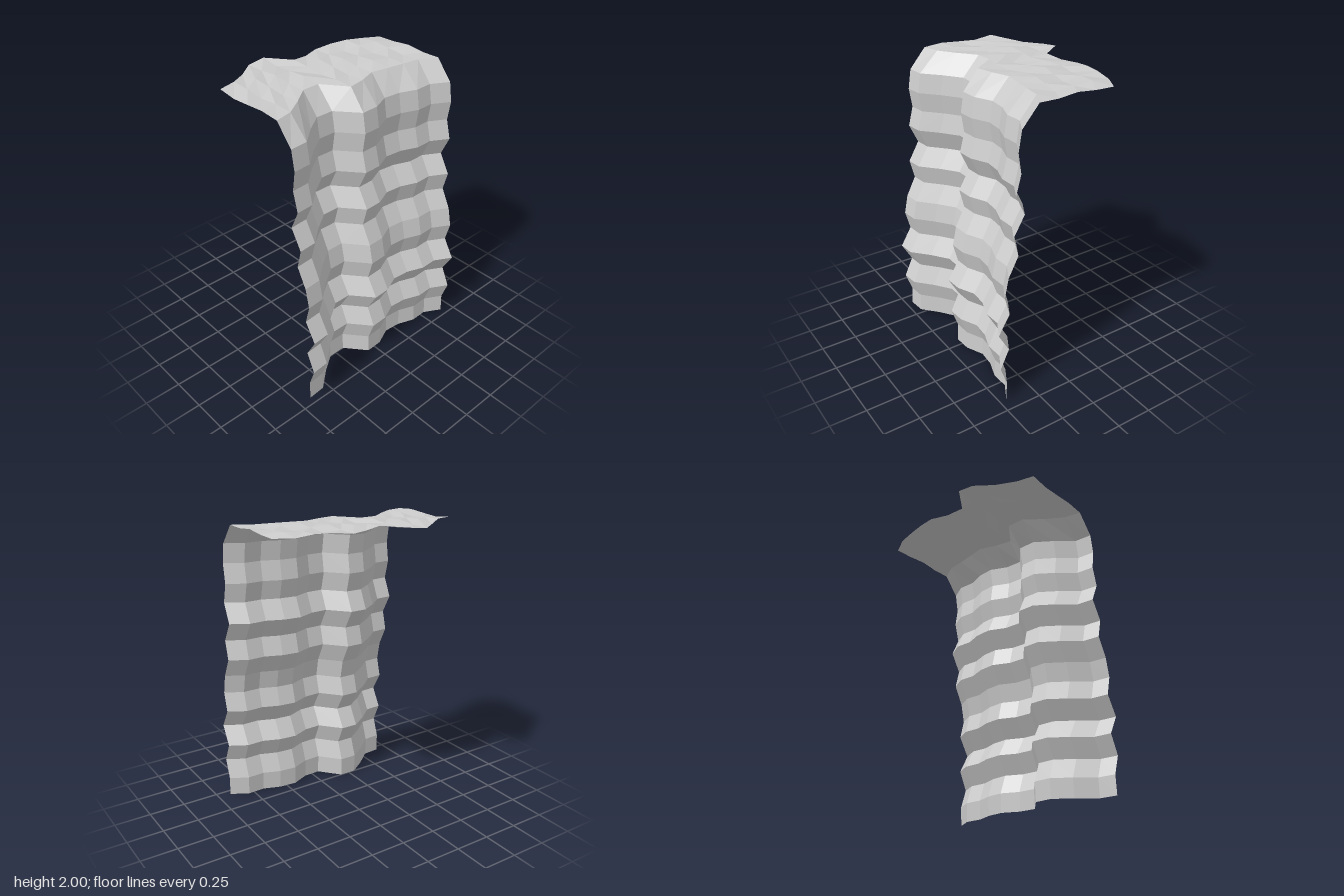
import * as THREE from 'three';

// z of the brow (top front edge) for each column, left to right
const brow = [0.23, 0.2, 0.12, 0.025, 0.02, 0.18, 0.155, 0.11, 0.13, 0.15, 0.165, 0.23];
// slight extra bulge of each column below the brow
const bulge = [-0.005, 0.015, -0.01, 0, 0.005, -0.012, 0.007, -0.002, -0.012, 0.012, -0.007, -0.005];
// how far each rock layer stands out from the brow, bottom to top
const layers = [0.225, 0.22, 0.267, 0.205, 0.28, 0.2, 0.235, 0.207,
  0.138, 0.172, 0.095, 0.157, 0.122, 0.142, 0.12, 0];

const HEIGHT = 1.99, HALF_WIDTH = 0.66, DEPTH = 0.53, TOP_ROWS = 4;
const COLS = brow.length - 1;

// Faceted sheet through a grid of points; point(i, j) gives [x, y, z]
function sheet(name, rows, point, material) {
  const positions = [], index = [];
  for (let j = 0; j <= rows; j++) {
    for (let i = 0; i <= COLS; i++) positions.push(...point(i, j));
  }
  for (let j = 0; j < rows; j++) {
    for (let i = 0; i < COLS; i++) {
      const a = j * (COLS + 1) + i, b = a + 1, d = a + COLS + 1, c = d + 1;
      index.push(a, b, c, a, c, d);
    }
  }
  const geometry = new THREE.BufferGeometry();
  geometry.setAttribute('position', new THREE.Float32BufferAttribute(positions, 3));
  geometry.setIndex(index);
  geometry.computeVertexNormals();
  const mesh = new THREE.Mesh(geometry, material);
  mesh.name = name;
  return mesh;
}

export function createModel() {
  const group = new THREE.Group();
  group.name = 'cliff';
  const rock = new THREE.MeshStandardMaterial({
    color: 0xcccccc, flatShading: true, side: THREE.DoubleSide,
  });
  rock.name = 'grey rock';

  const columnX = (i) => -HALF_WIDTH + (2 * HALF_WIDTH * i) / COLS;
  const last = layers.length - 1;

  // Layered rock wall
  group.add(sheet('cliffWall', last, (i, j) => [
    columnX(i),
    (HEIGHT * j) / last,
    brow[i] + layers[j] + (j < last ? bulge[i] : 0),
  ], rock));

  // Nearly level ground running back from the brow, gently uneven
  group.add(sheet('cliffTop', TOP_ROWS, (i, j) => [
    columnX(i),
    HEIGHT + (j ? 0.01 * Math.sin(i * 1.57 + j * 1.9 - 0.6) : 0),
    brow[i] - (DEPTH * j) / TOP_ROWS,
  ], rock));

  return group;
}
